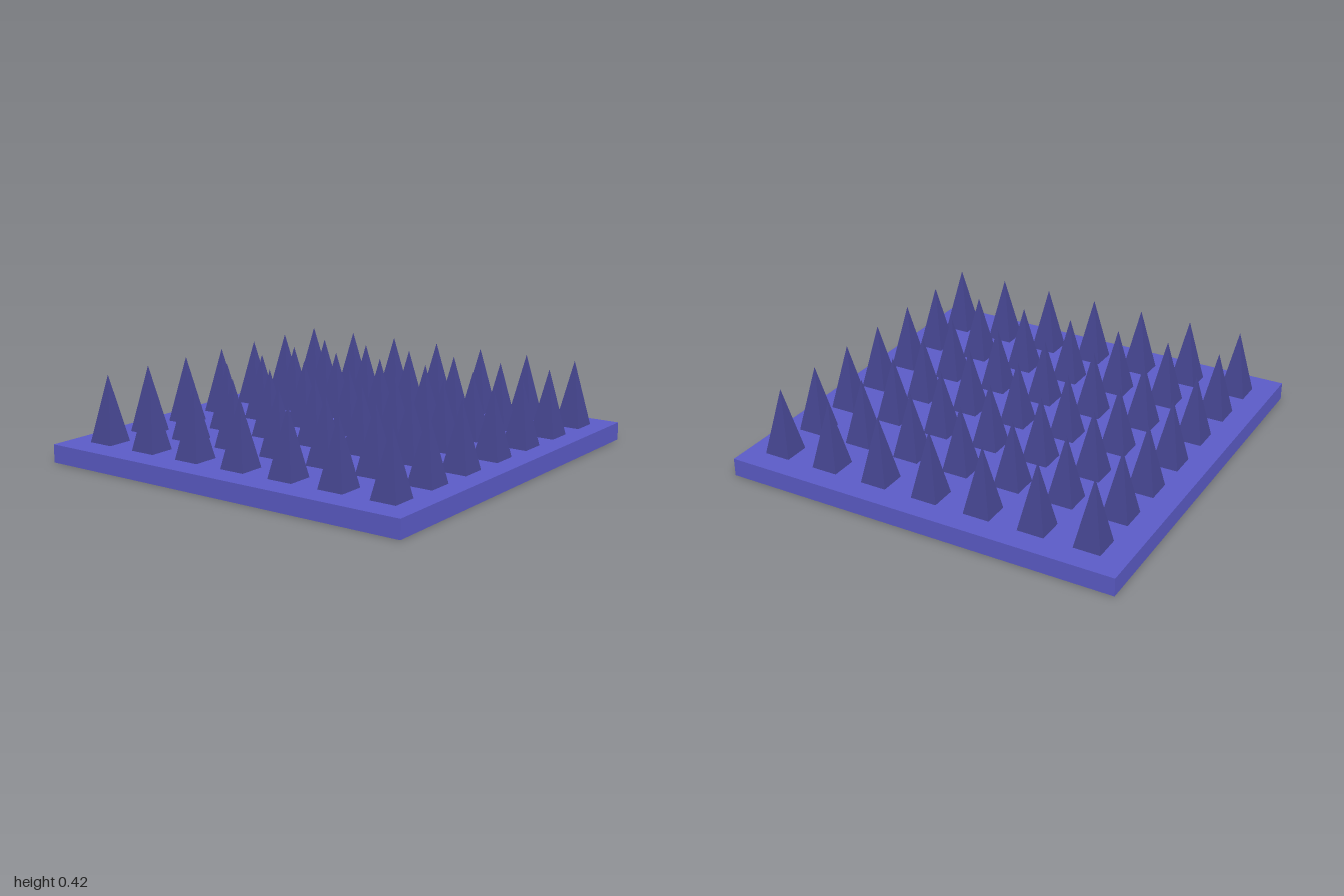
import * as THREE from 'three';

export function createModel() {
  const model = new THREE.Group();
  const plateMat = new THREE.MeshStandardMaterial({ color: 0x5c5cc8 });
  const spikeMat = new THREE.MeshStandardMaterial({ color: 0x464692, flatShading: true });

  // Flat square base
  const plateHeight = 0.09;
  const plate = new THREE.Mesh(new THREE.BoxGeometry(2, plateHeight, 2), plateMat);
  plate.name = 'basePlate';
  plate.position.y = plateHeight / 2;
  model.add(plate);

  // Square pyramid with its sides parallel to the plate, standing on its origin
  const halfWidth = 0.066, spikeHeight = 0.33;
  const spikeGeo = new THREE.ConeGeometry(halfWidth * Math.SQRT2, spikeHeight, 4);
  spikeGeo.rotateY(Math.PI / 4).translate(0, spikeHeight / 2, 0);

  // Seven by seven spikes, slightly off a perfect grid
  const columns = [-0.8, -0.527, -0.252, 0.022, 0.288, 0.553, 0.817];
  const rows = [-0.82, -0.546, -0.272, 0.002, 0.275, 0.549, 0.822];
  const spikes = new THREE.Group();
  spikes.name = 'spikes';
  columns.forEach((x, i) => {
    for (const z of rows) {
      const spike = new THREE.Mesh(spikeGeo, spikeMat);
      spike.name = 'spike';
      spike.position.set(x, plateHeight, z + i * 0.002);
      spikes.add(spike);
    }
  });
  model.add(spikes);
  return model;
}
